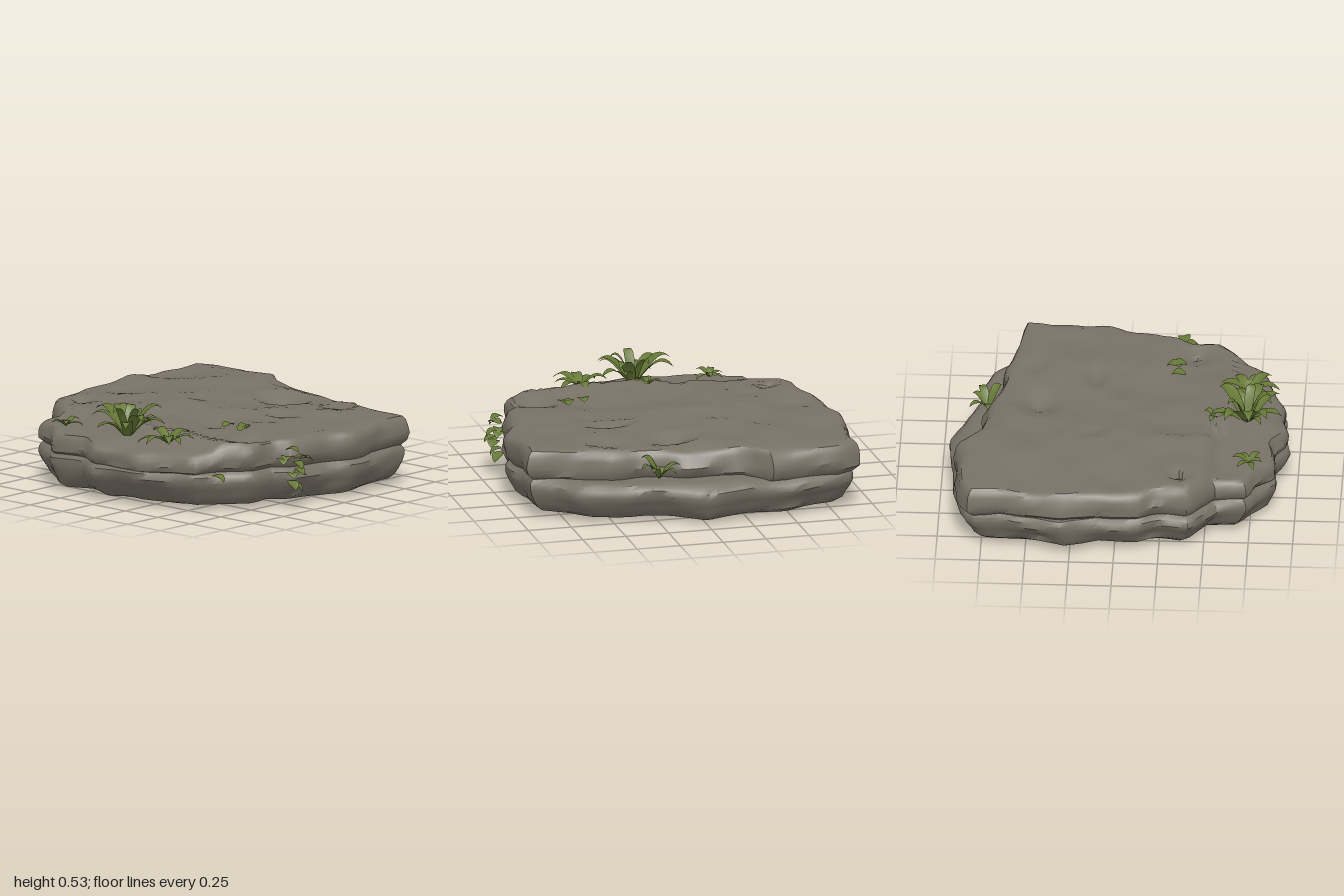
import * as THREE from 'three';
import { mergeGeometries, mergeVertices, toCreasedNormals } from 'three/addons/utils/BufferGeometryUtils.js';

const rock = new THREE.MeshStandardMaterial({ color: 0x787166 });
rock.name = 'rock grey';
const green = new THREE.MeshStandardMaterial({ color: 0x667936, side: THREE.DoubleSide });
green.name = 'leaf green';

// Seeded lattice noise, linear between points so that it reads as chipped facets
const hash = (x, y, z) => {
  const s = Math.sin(x * 127.1 + y * 311.7 + z * 74.7) * 43758.5453;
  return (s - Math.floor(s)) * 2 - 1;
};
function noise(x, y, z) {
  const X = Math.floor(x), Y = Math.floor(y), Z = Math.floor(z);
  let sum = 0;
  for (let i = 0; i < 8; i++) {
    const a = i & 1, b = (i >> 1) & 1, c = i >> 2;
    sum += hash(X + a, Y + b, Z + c) * (a ? x - X : 1 - x + X) * (b ? y - Y : 1 - y + Y) * (c ? z - Z : 1 - z + Z);
  }
  return sum;
}
const smooth = THREE.MathUtils.smoothstep;

// Outlines as x, z pairs, running back, right, front, left
const back = [[-0.13, -0.93], [0.1, -0.93]];
const left = [[0.35, 0.95], [0.12, 0.99], [-0.02, 0.92], [-0.3, 0.88], [-0.37, 0.81], [-0.53, 0.8], [-0.65, 0.69],
  [-0.8, 0.6], [-0.85, 0.45], [-0.93, 0.25], [-0.92, 0.1], [-0.96, -0.06], [-0.89, -0.2], [-0.91, -0.42],
  [-0.8, -0.55], [-0.75, -0.67], [-0.57, -0.69], [-0.43, -0.88], [-0.24, -0.87]];
const lowerOutline = [...back, [0.3, -1], [0.45, -0.95], [0.65, -0.9], [0.83, -0.88], [0.87, -0.78], [0.92, -0.56],
  [0.93, -0.36], [0.95, -0.22], [0.965, -0.02], [0.92, 0.1], [0.86, 0.25], [0.82, 0.38], [0.81, 0.56], [0.76, 0.7],
  [0.66, 0.79], [0.57, 0.95], ...left];
const upperOutline = [...back, [0.3, -0.97], [0.45, -0.94], [0.65, -0.9], [0.83, -0.91], [0.89, -0.8], [0.91, -0.56],
  [0.93, -0.38], [0.8, -0.25], [0.78, -0.05], [0.78, 0.1], [0.71, 0.2], [0.68, 0.35], [0.7, 0.5], [0.65, 0.62],
  [0.61, 0.8], [0.57, 0.95], ...left];

// Distance to an outline at an angle, measured from the back towards the right
function radiusAt(outline, angle) {
  const dx = Math.sin(angle), dz = -Math.cos(angle);
  for (let i = 0; i < outline.length; i++) {
    const [ax, az] = outline[i], [bx, bz] = outline[(i + 1) % outline.length];
    const ex = bx - ax, ez = bz - az, det = dx * ez - dz * ex;
    const r = (ax * ez - az * ex) / det, t = (ax * dz - az * dx) / det;
    if (r > 0 && t >= -1e-6 && t <= 1 + 1e-6) return r;
  }
  return 0.9;
}

// Slab: closed loft of rings, each [y, inset, scale]; topHeight shapes the upper face
function slab(name, outline, sides, floorY, topHeight) {
  const N = 128, rings = [];
  for (const s of [0, 0.2, 0.4, 0.6, 0.75, 0.9]) rings.push([floorY, sides[0][1], s]);
  for (const [y, inset] of sides) rings.push([y, inset, 1]);
  const [topY, topInset] = sides[sides.length - 1];
  for (let k = 21; k >= 0; k--) rings.push([null, topInset, k / 22]);
  const pos = [], index = [];
  rings.forEach(([y, inset, s], r) => {
    for (let i = 0; i < N; i++) {
      const a = (i / N) * Math.PI * 2, dx = Math.sin(a), dz = -Math.cos(a);
      const full = radiusAt(outline, a), px = dx * full, pz = dz * full;
      let rad = (full - inset) * s;
      if (s === 1) rad += 0.024 * noise(px * 4, y * 11, pz * 4) + 0.014 * noise(px * 9, y * 20, pz * 9) - 0.006;
      const x = dx * rad, z = dz * rad;
      let h = y;
      if (y === null) h = topHeight(x, z);
      else if (s === 1) h = Math.min(y + 0.018 * noise(px * 4, 3, pz * 4), topHeight(x, z) - (topY - y) * 0.7);
      else h = floorY + 0.022 * noise(x * 2.6, 7, z * 2.6);
      pos.push(x, Math.max(h, 0), z);
      const b = r * N + i, c = r * N + (i + 1) % N;
      if (r < rings.length - 1) index.push(b, b + N, c, c, b + N, c + N);
    }
  });
  const geo = new THREE.BufferGeometry();
  geo.setAttribute('position', new THREE.Float32BufferAttribute(pos, 3));
  geo.setIndex(index);
  const mesh = new THREE.Mesh(toCreasedNormals(mergeVertices(geo), 0.7), rock);
  mesh.name = name;
  return mesh;
}

// Hollows worn into the upper face: x, z, radius x, radius z, depth
const hollows = [[0.47, 0.08, 0.15, 0.18, 0.06], [0.15, 0.38, 0.08, 0.16, 0.04], [0, 0.45, 0.13, 0.4, 0.02],
  [-0.4, 0.66, 0.12, 0.13, 0.06], [-0.35, -0.68, 0.06, 0.06, 0.05], [0.5, 0.48, 0.1, 0.1, 0.025],
  [0.78, 0, 0.15, 0.3, 0.04], [0.15, -0.24, 0.12, 0.08, 0.02]];
function upperTop(x, z) {
  let h = 0.4 + 0.018 * noise(x * 4, 1, z * 4) + 0.008 * noise(x * 9, 2, z * 9);
  const edge = z < -0.25 ? -0.49 : -0.49 - 0.12 * smooth(z, -0.25, 0);
  h -= 0.05 * (1 - smooth(x, edge - 0.08, edge)) + 0.03 * (1 - smooth(x, -0.95, -0.65));
  // Low step in the front left quarter
  h -= 0.015 * smooth(z, -0.28, -0.23) * (1 - smooth(x, -0.3, 0)) * smooth(x, -0.6, -0.5);
  for (const [cx, cz, rx, rz, d] of hollows) h -= d * Math.max(0, 1 - Math.hypot((x - cx) / rx, (z - cz) / rz));
  return Math.min(h, 0.42);
}

// Leaf: folded blade that arches along +x
function leaf(length, width, rise, droop) {
  const pos = [], index = [], n = 8;
  for (let i = 0; i <= n; i++) {
    const t = i / n, w = width * 0.5 * Math.sin(Math.PI * (0.06 + 0.94 * t)) ** 0.8 + 0.001;
    const x = length * t, y = rise * Math.sin(t * Math.PI * 0.6) - droop * t * t * t;
    pos.push(x, y + w * 0.25, -w, x, y, 0, x, y + w * 0.25, w);
    if (i < n) for (const k of [0, 1]) {
      const a = i * 3 + k;
      index.push(a, a + 1, a + 3, a + 1, a + 4, a + 3);
    }
  }
  const geo = new THREE.BufferGeometry();
  geo.setAttribute('position', new THREE.Float32BufferAttribute(pos, 3));
  geo.setIndex(index);
  geo.computeVertexNormals();
  return geo;
}

// Tuft: leaves fanned around a root
function tuft(name, at, count, length, width, rise, droop, seed) {
  const parts = [];
  for (let i = 0; i < count; i++) {
    const v = hash(i, seed, 1), u = hash(i, seed, 2);
    const g = leaf(length * (0.92 + 0.12 * v), width * (1 + 0.15 * u), rise * (0.8 + 0.3 * u), droop * (1 + 0.3 * v));
    parts.push(g.rotateY((i / count) * Math.PI * 2 + 0.25 * v + seed));
  }
  const mesh = new THREE.Mesh(mergeGeometries(parts), green);
  mesh.name = name;
  mesh.position.set(...at);
  return mesh;
}

export function createModel() {
  const model = new THREE.Group();
  model.name = 'rockSlab';

  // Two stacked layers of stone with a shallow groove between them
  model.add(slab('lowerRock', lowerOutline,
    [[0.03, 0.11], [0.055, 0.07], [0.09, 0.05], [0.13, 0.02], [0.17, 0], [0.205, 0.005], [0.23, 0.03]], 0.022,
    (x, z) => 0.24 + 0.014 * noise(x * 5, 4, z * 5)));
  model.add(slab('upperRock', upperOutline,
    [[0.2, 0.06], [0.23, 0.03], [0.255, 0.005], [0.3, 0], [0.345, 0.008], [0.375, 0.02], [0.395, 0.04]], 0.21, upperTop));

  // Tufts on the left shelf and the right ledge
  model.add(tuft('largeTuftOuter', [-0.71, 0.33, 0], 9, 0.25, 0.07, 0.19, 0.03, 1));
  model.add(tuft('largeTuftInner', [-0.71, 0.33, 0], 5, 0.15, 0.05, 0.2, 0.02, 2));
  model.add(tuft('frontTuft', [-0.71, 0.355, 0.31], 8, 0.18, 0.06, 0.1, 0.04, 3));
  model.add(tuft('backTuft', [-0.74, 0.35, -0.45], 6, 0.1, 0.04, 0.05, 0.02, 4));
  model.add(tuft('sideSprig', [-0.54, 0.39, -0.04], 4, 0.09, 0.04, 0.05, 0.02, 6));
  model.add(tuft('rightTuft', [0.755, 0.25, 0.24], 7, 0.13, 0.045, 0.12, 0.02, 5));

  // Round leaves creeping over the front edge: x, y, z, turn, downward tilt
  const creeper = new THREE.Group();
  creeper.name = 'creeper';
  const spots = [[-0.35, 0.405, 0.4, 0, 0], [-0.35, 0.4, 0.52, 0.2, 0], [-0.32, 0.405, 0.49, -0.1, 0],
    [-0.33, 0.34, 0.86, -1.3, 0.1], [-0.33, 0.3, 0.88, -2.6, 0.1], [-0.29, 0.29, 0.89, -0.3, 0.1],
    [-0.31, 0.27, 0.89, -1.5, 0.4], [-0.25, 0.28, 0.89, -0.6, 0.2], [-0.36, 0.29, 0.86, -2.3, 0.2],
    [-0.32, 0.21, 0.9, -2.3, 0.2], [-0.31, 0.21, 0.9, -0.7, 0.3], [-0.31, 0.23, 0.9, -1.5, 0.3],
    [-0.32, 0.16, 0.87, -1.7, 0.6], [-0.3, 0.14, 0.87, -1.0, 0.6], [-0.7, 0.215, 0.64, -1.3, 0.4]];
  for (const [x, y, z, turn, tilt] of spots) {
    const mesh = new THREE.Mesh(leaf(0.08, 0.07, 0.02, 0.02), green);
    mesh.name = 'creeperLeaf';
    mesh.position.set(x, y, z);
    mesh.rotation.set(0, turn, -tilt, 'YXZ');
    creeper.add(mesh);
  }
  model.add(creeper);
  return model;
}
